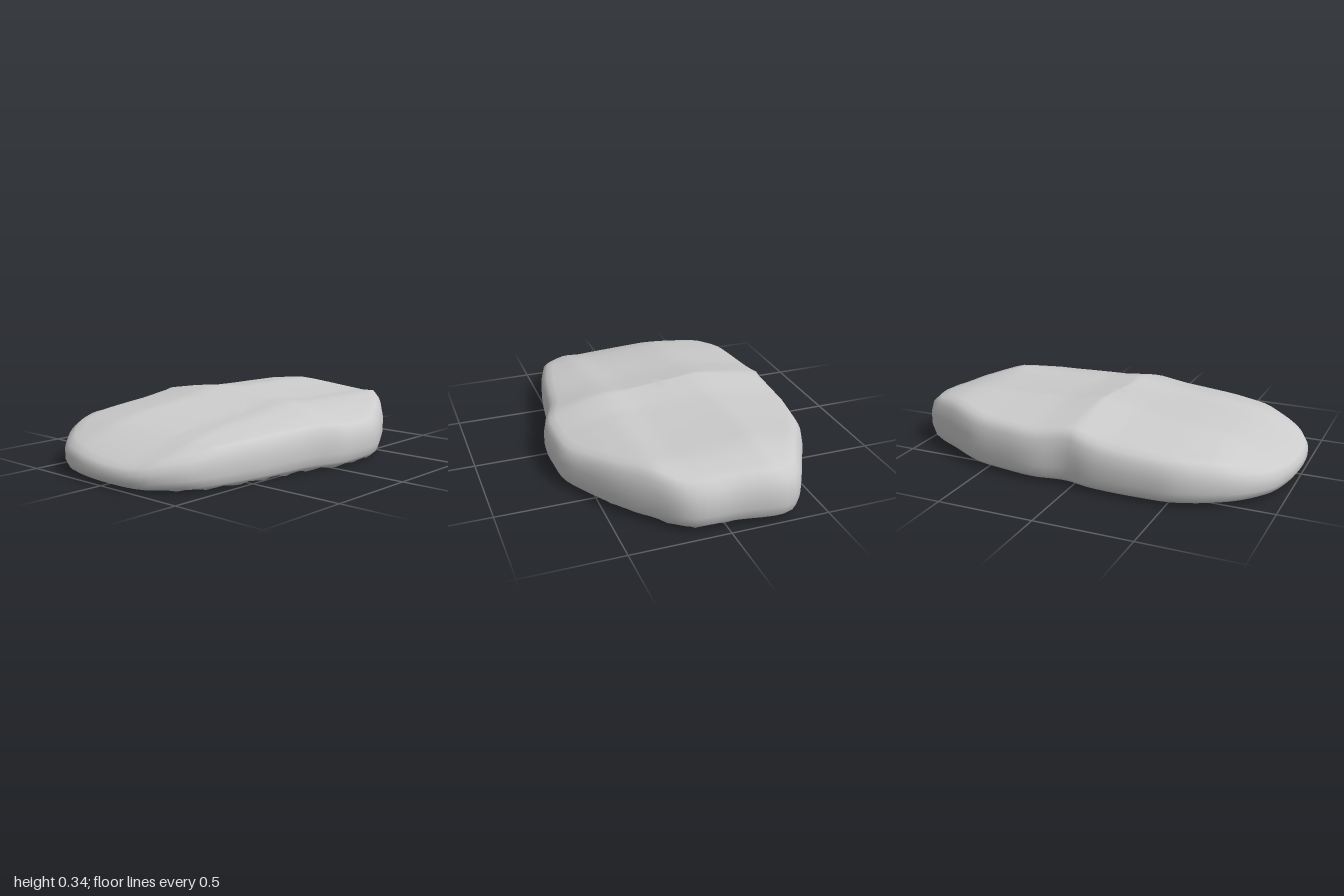
import * as THREE from 'three';

// Plan outline (x, z), starting at the left end and passing the front
const OUTLINE = [
  [1, -0.28], [0.97, -0.05], [0.945, 0.18], [0.8, 0.33], [0.65, 0.45], [0.5, 0.54],
  [0.34, 0.62], [0.18, 0.635], [0.03, 0.635], [-0.15, 0.575], [-0.35, 0.545],
  [-0.55, 0.51], [-0.8, 0.43], [-0.92, 0.32], [-0.98, 0.22], [-1, 0], [-0.975, -0.22],
  [-0.93, -0.35], [-0.8, -0.5], [-0.57, -0.62], [-0.37, -0.64], [-0.1, -0.635],
  [0.04, -0.61], [0.22, -0.625], [0.42, -0.6], [0.58, -0.565], [0.78, -0.46], [0.965, -0.35],
];

// Height profiles of the top, along x and along z
const ALONG_X = [[-1, 0.1], [-0.9, 0.16], [-0.7, 0.24], [-0.5, 0.275], [-0.2, 0.308],
  [0, 0.345], [0.2, 0.318], [0.5, 0.31], [0.75, 0.312], [0.93, 0.27], [1, 0.23]];
const ALONG_Z = [[-0.64, 0.24], [-0.58, 0.29], [-0.4, 0.32], [-0.22, 0.345], [0, 0.322],
  [0.18, 0.305], [0.3, 0.31], [0.45, 0.275], [0.6, 0.225], [0.64, 0.18]];

function sample(profile, t) {
  if (t <= profile[0][0]) return profile[0][1];
  for (let i = 1; i < profile.length; i++) {
    const [t0, v0] = profile[i - 1], [t1, v1] = profile[i];
    if (t <= t1) return v0 + (v1 - v0) * (t - t0) / (t1 - t0);
  }
  return profile[profile.length - 1][1];
}

const topHeight = (x, z) => sample(ALONG_X, x) * sample(ALONG_Z, z) / 0.345;

// Wall rings: [inset scale, fraction of the rim height]
const WALL = [[0.965, 0.09], [0.985, 0.16], [1, 0.35], [1, 0.62], [0.983, 0.86]];
const RIM = 0.945;
const TOP = [RIM, 0.89, 0.82, 0.74, 0.65, 0.55, 0.45, 0.35, 0.25, 0.15, 0.07];
const SIDES = 112;

function rockGeometry() {
  const curve = new THREE.CatmullRomCurve3(
    OUTLINE.map(([x, z]) => new THREE.Vector3(x, 0, z)), true, 'centripetal');
  const plan = curve.getSpacedPoints(SIDES).slice(0, SIDES);
  const pos = [], index = [];

  // Ragged lower lip, turned slightly inwards and wider at the back
  plan.forEach((p, j) => {
    const s = 0.94 - 0.05 * THREE.MathUtils.clamp(-p.z * 2, 0, 1) + 0.006 * Math.sin(j * 2.3);
    pos.push(p.x * s, 0.009 + 0.006 * Math.sin(j * 1.9) + (p.z < 0 ? 0.005 : 0), p.z * s);
  });
  // Rounded side wall
  for (const [s, f] of WALL) {
    for (const p of plan) pos.push(p.x * s, f * topHeight(p.x * RIM, p.z * RIM), p.z * s);
  }
  // Gently domed top
  for (const s of TOP) {
    for (const p of plan) pos.push(p.x * s, topHeight(p.x * s, p.z * s), p.z * s);
  }
  pos.push(0, topHeight(0, 0), 0);

  const rings = 1 + WALL.length + TOP.length;
  for (let i = 0; i < rings; i++) {
    for (let j = 0; j < SIDES; j++) {
      const k = (j + 1) % SIDES;
      const a = i * SIDES + j, b = i * SIDES + k;
      if (i === rings - 1) index.push(a, rings * SIDES, b);
      else index.push(a, a + SIDES, b, b, a + SIDES, b + SIDES);
    }
  }
  const geometry = new THREE.BufferGeometry();
  geometry.setAttribute('position', new THREE.Float32BufferAttribute(pos, 3));
  geometry.setIndex(index);
  geometry.computeVertexNormals();
  return geometry;
}

export function createModel() {
  const group = new THREE.Group();
  group.name = 'flatRock';
  // Hollow shell, open underneath
  const shell = new THREE.Mesh(rockGeometry(),
    new THREE.MeshStandardMaterial({ color: 0xcccccc, side: THREE.DoubleSide }));
  shell.name = 'rockShell';
  group.add(shell);
  return group;
}
